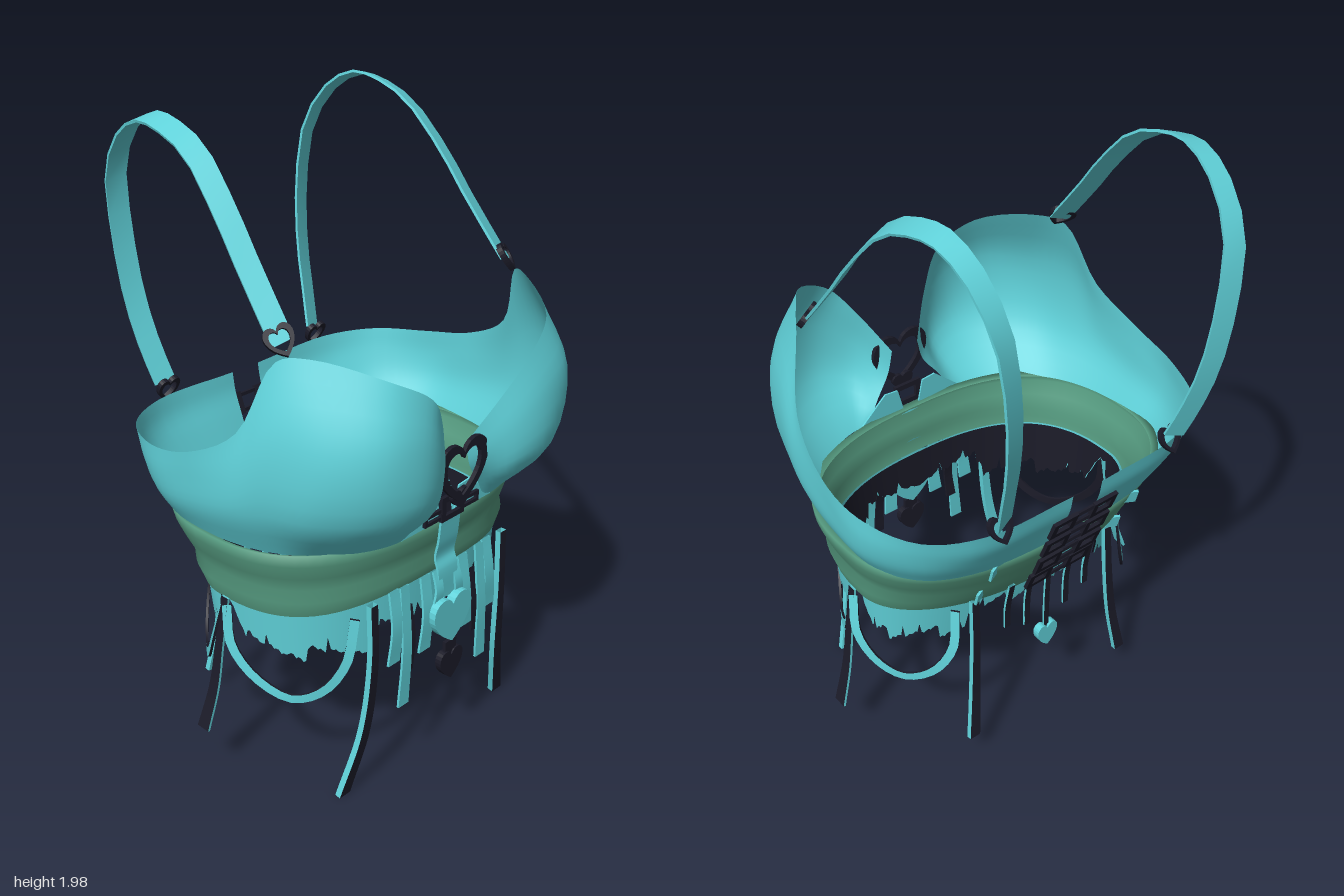
import * as THREE from 'three';

const V = (x, y, z) => new THREE.Vector3(x, y, z);
const mat = (name, color) => new THREE.MeshStandardMaterial({ name, color, side: THREE.DoubleSide });

export function createModel() {
  const model = new THREE.Group();
  const teal = mat('turquoise', 0x60d2da);
  const green = mat('sea green', 0x569c81);
  const black = mat('black', 0x1b1b28);

  const add = (name, geo, material, x = 0, y = 0, z = 0, rx = 0, ry = 0) => {
    const m = new THREE.Mesh(geo, material);
    m.name = name;
    m.position.set(x, y, z);
    m.rotation.set(rx, ry, 0);
    model.add(m);
  };

  // Smooth sheet through a grid of points
  const sheet = (rows) => {
    const n = rows[0].length, index = [];
    for (let r = 0; r < rows.length - 1; r++) {
      for (let c = 0; c < n - 1; c++) {
        const a = r * n + c, b = a + n;
        index.push(a, b, a + 1, b, b + 1, a + 1);
      }
    }
    const g = new THREE.BufferGeometry().setFromPoints(rows.flat());
    g.setIndex(index);
    g.computeVertexNormals();
    return g;
  };

  // Band along a path with its own outer face, inner face and edges; side(tangent) gives the width direction
  const ribbon = (name, pts, width, side, outer, inner, flare = 0, thick = 0.008) => {
    const curve = new THREE.CatmullRomCurve3(pts);
    const faces = [[], [], [], []];
    for (let i = 0; i <= 20; i++) {
      const t = i / 20, p = curve.getPoint(t), tan = curve.getTangent(t);
      const s = side(tan).normalize();
      const n = s.clone().cross(tan).normalize().multiplyScalar(thick / 2);
      if (n.x * p.x + n.z * p.z < 0) n.negate();
      s.multiplyScalar(width / 2 * (1 + flare * t * t));
      const [a, b, c, d] = [[-1, 1], [1, 1], [1, -1], [-1, -1]].map(([u, v]) =>
        p.clone().addScaledVector(s, u).addScaledVector(n, v));
      [[a, b], [b, c], [c, d], [d, a]].forEach((edge, k) => faces[k].push(edge));
    }
    faces.forEach((rows, k) => add(name, sheet(rows), k === 0 ? outer : inner));
  };

  // Rounded loop around the torso: a = half width, f / b = depth to front / back, p = roundness of the back
  const loop = (th, a, f, b, y, p) => {
    const s = Math.sin(th), c = Math.cos(th), e = c > 0 ? 0.8 : p;
    return V(a * Math.sign(s) * Math.abs(s) ** e, y, (c > 0 ? f : -b) * Math.abs(c) ** e);
  };

  // Heart and frame plates
  const heart = (w, h, Type = THREE.Shape) => {
    const s = new Type();
    s.moveTo(0, -h);
    s.bezierCurveTo(w * 0.35, -h * 0.75, w, -h * 0.25, w, h * 0.4);
    s.bezierCurveTo(w, h * 1.1, w * 0.2, h * 1.2, 0, h * 0.65);
    s.bezierCurveTo(-w * 0.2, h * 1.2, -w, h * 1.1, -w, h * 0.4);
    s.bezierCurveTo(-w, -h * 0.25, -w * 0.35, -h * 0.75, 0, -h);
    return s;
  };
  const extrude = (shape, depth) => {
    const g = new THREE.ExtrudeGeometry(shape, { depth, bevelEnabled: false, curveSegments: 8 });
    return g.translate(0, 0, -depth / 2);
  };
  const heartRing = (w, h, k, d) => {
    const s = heart(w, h);
    s.holes.push(heart(w * k, h * k, THREE.Path));
    return extrude(s, d);
  };
  const rect = (w, h, Type) => new Type([[-w, -h], [w, -h], [w, h], [-w, h]].map(([x, y]) => new THREE.Vector2(x / 2, y / 2)));
  const frame = (w, h, t, d) => {
    const s = rect(w, h, THREE.Shape);
    s.holes.push(rect(w - 2 * t, h - 2 * t, THREE.Path));
    return extrude(s, d);
  };

  // Cup and side wing: four guide lines from the under-bust seam to the top edge
  const guides = [
    [[.17, .87, .43], [.22, .87, .43], [.29, .87, .41], [.36, .87, .37], [.43, .87, .31], [.49, .87, .23],
      [.53, .87, .13], [.55, .87, 0], [.54, .87, -.15], [.46, .87, -.275], [.3, .87, -.35], [.055, .87, -.375]],
    [[.12, .95, .44], [.17, 1, .53], [.28, 1.03, .56], [.4, 1.03, .51], [.51, 1.03, .39], [.56, 1.03, .26],
      [.585, 1, .15], [.595, .97, 0], [.585, .95, -.16], [.49, .95, -.315], [.34, .95, -.385], [.055, .95, -.405]],
    [[.07, 1.02, .45], [.15, 1.13, .54], [.26, 1.22, .575], [.39, 1.25, .545], [.5, 1.25, .43], [.56, 1.25, .28],
      [.59, 1.12, .16], [.605, 1.07, 0], [.6, 1.03, -.17], [.51, 1.03, -.335], [.36, 1.02, -.415], [.055, 1.02, -.43]],
    [[.05, 1.1, .45], [.13, 1.24, .51], [.21, 1.35, .54], [.33, 1.425, .5], [.45, 1.475, .33], [.5, 1.46, .25],
      [.572, 1.25, .165], [.608, 1.15, 0], [.6, 1.11, -.17], [.52, 1.095, -.345], [.36, 1.09, -.43], [.055, 1.08, -.44]],
  ].map((g) => new THREE.CatmullRomCurve3(g.map((p) => V(...p))));
  for (const s of [1, -1]) {
    const cols = [];
    for (let i = 0; i <= 55; i++) {
      const across = new THREE.CatmullRomCurve3(guides.map((g) => g.getPoint(i / 55)));
      cols.push(across.getPoints(12).map((p) => V(p.x * s, p.y, p.z)));
    }
    add(s > 0 ? 'leftCup' : 'rightCup', sheet(cols), teal);
  }

  // Folded waistband with a turned-in lip, open at the centre back
  const around = (n, fn) => Array.from({ length: n + 1 }, (_, i) => fn((i / n * 2 - 1) * (Math.PI - 0.06)));
  const folds = [[.87, .547, .418, .365, .8], [.88, .57, .435, .385, .8], [.84, .565, .437, .372, .82], [.79, .547, .425, .352, .86],
    [.74, .525, .415, .33, .9], [.7, .532, .424, .312, .93], [.645, .515, .412, .28, .96]];
  add('waistband', sheet(folds.map(([y, a, f, b, p], r) =>
    around(72, (th) => loop(th, a, f, b, y + (r / 6) ** 2 * 0.045 * Math.max(0, Math.cos(th)) ** 4, p)))), green);

  // Ragged skirt of torn tabs, drawn in towards the hem, with a dark lining
  const hem = (th) => {
    const u = Math.abs(th) * 6.2 + 0.3, k = Math.floor(u), f = u - k;
    const torn = 0.035 * ((k * 7) % 3) / 2 + 0.035 * f + 0.012 * Math.abs(Math.sin(u * 9));
    const notch = f < 0.1 ? 0.05 : 0;
    const sideGap = Math.max(0, 1 - Math.abs(Math.abs(th) - 1.54) / 0.16) * 0.15;
    const centre = Math.abs(th) < 0.4 ? 0.06 : Math.abs(th) > 2.6 ? 0.07 : 0;
    return Math.min(0.655, 0.47 + torn + notch + sideGap + centre);
  };
  for (const [name, k, m] of [['skirt', 1, teal], ['skirtLining', 0.982, black]]) {
    add(name, sheet([0, 0.5, 1].map((t) => around(320, (th) => {
      const y = 0.69 + (hem(th) - 0.69) * t, drop = 0.69 - y;
      return loop(th, (.512 - drop * 0.08) * k, (.409 - drop * 0.03) * k, (.278 - drop * 0.2) * k, y, .97);
    }))), m);
  }

  const alongX = () => V(1, 0, 0), alongZ = () => V(0, 0, 1);
  for (const s of [1, -1]) {
    // Shoulder strap, tilted outward, and its heart rings
    const path = [[.465, 1.5, .24], [.45, 1.67, .1], [.44, 1.8, 0], [.425, 1.93, -.13], [.42, 1.978, -.25],
      [.415, 1.985, -.34], [.405, 1.932, -.44], [.39, 1.8, -.53], [.37, 1.6, -.55], [.355, 1.4, -.533],
      [.34, 1.25, -.495], [.32, 1.13, -.455]];
    ribbon('shoulderStrap', path.map(([x, y, z]) => V(x * s, y, z)), 0.068, () => V(s, -0.3, -0.3), teal, teal);
    add('frontStrapRing', heartRing(.042, .044, .68, .018), black, .47 * s, 1.505, .24, -0.7, .5 * s);
    add('backStrapRing', heartRing(.04, .044, .68, .016), black, .32 * s, 1.105, -.445, 0.4);

    // Long streamers: front, side and back
    ribbon('frontStreamer', [V(.295 * s, .69, .41), V(.295 * s, .5, .415), V(.315 * s, .25, .4), V(.37 * s, .02, .365)],
      .028, alongX, black, teal, .6, .02);
    ribbon('sideStreamer', [V(.52 * s, .65, .03), V(.545 * s, .5, .025), V(.57 * s, .35, .02), V(.612 * s, .21, .01)],
      .03, alongZ, black, teal, .6);
    ribbon('backStreamer', [V(.27 * s, .66, -.255), V(.275 * s, .5, -.265), V(.29 * s, .3, -.28), V(.315 * s, .12, -.305)],
      .026, alongX, black, teal, .5, .018);

    // Draped loops on the hip
    const drape = (pts, face) => ribbon('drapedLoop', pts.map(([x, y, z]) => V(x * s, y, z)), .028,
      (t) => t.clone().cross(V(face[0] * s, 0, face[1])), teal, black);
    drape([[.34, .65, .385], [.36, .5, .37], [.4, .39, .31], [.45, .35, .23], [.5, .4, .13], [.53, .5, .06], [.525, .63, .04]], [.75, .65]);
    drape([[.525, .63, .02], [.54, .5, -.01], [.51, .4, -.07], [.46, .36, -.14], [.4, .4, -.21], [.35, .5, -.25], [.33, .64, -.24]], [.75, -.65]);

    // Short hanging strips at the front and back
    for (const [x, y0, y1, z, w, m] of [[.17, .7, .29, .43, .036, teal], [.145, .62, .4, .425, .03, black],
      [.085, .7, .45, .435, .04, teal], [.21, .7, .46, .425, .04, teal], [.04, .7, .58, .44, .03, teal]]) {
      ribbon('frontStrip', [V(x * s, y0, z - .01), V((x + .003) * s, (y0 + y1) / 2, z + .008), V((x + .012) * s, y1, z + .005)],
        w, alongX, m, m, .25);
    }
    for (const [x, y1] of [[.08, .46], [.16, .5]]) {
      ribbon('backStrip', [V(x * s, .69, -.3), V(x * s, .58, -.28), V(x * s, y1, -.28)], .022, alongX, black, teal);
    }

    // Small tabs on the back of the waistband
    for (const [y, z] of [[.85, -.352], [.7, -.282]]) {
      add('backTab', extrude(rect(.04, .05, THREE.Shape), .008), teal, .27 * s, y, z, -0.25, .4 * s);
    }
  }

  // Centre back buckles bridging the opening
  for (const [y, z] of [[.97, -.426], [.88, -.396], [.79, -.366], [.7, -.328]]) {
    for (const s of [1, -1]) add('backBuckle', frame(.09, .074, .019, .012), black, .076 * s, y, z, -0.35);
    for (const dy of [-.024, .024]) add('buckleBar', new THREE.BoxGeometry(.12, .012, .008), black, 0, y + dy, z - dy * .36);
  }
  ribbon('backPendantCord', [V(0, .66, -.285), V(0, .55, -.28), V(0, .4, -.28)], .02, alongX, black, teal);
  add('backPendantHeart', extrude(heart(.04, .045), .025), teal, 0, .37, -.28);

  // Centre front heart ring, clasp and tab
  add('frontHeartRing', heartRing(.105, .1, .72, .014), black, 0, 1.035, .482);
  add('heartFoot', extrude(heart(.04, .03), .014), black, 0, .95, .475);
  add('claspFrame', frame(.1, .08, .018, .012), black, 0, .915, .448);
  for (const s of [1, -1]) {
    add('claspWing', frame(.08, .035, .011, .01), black, .08 * s, .902, .446);
    const gore = new THREE.Shape([[.03, .87], [.2, .87], [.1, .96], [.05, .955]].map(([x, y]) => new THREE.Vector2(x * s, y)));
    add('centreGore', extrude(gore, .006), teal, 0, 0, .43);
  }
  ribbon('frontTab', [V(0, .875, .443), V(0, .8, .436), V(0, .74, .426), V(0, .7, .438), V(0, .6, .44)], .085, alongX, teal, teal);

  // Front pendants
  add('pendantHeart', extrude(heart(.085, .08), .03), teal, 0, .53, .455);
  add('pendantLink', new THREE.BoxGeometry(.05, .06, .012), black, 0, .42, .46);
  add('smallPendantHeart', extrude(heart(.052, .052), .022), black, 0, .365, .46);

  return model;
}
